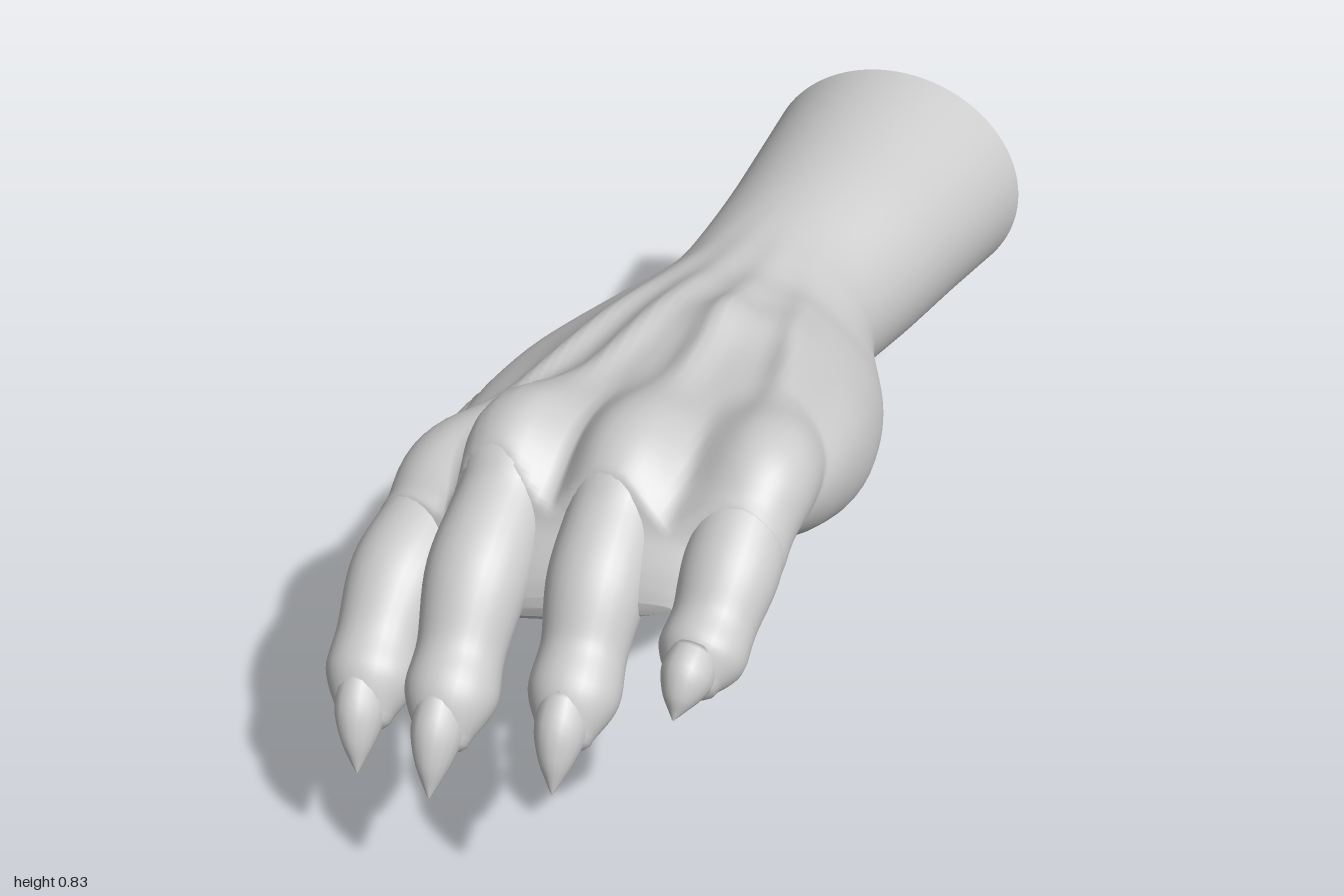
import * as THREE from 'three';

const skin = new THREE.MeshStandardMaterial({ color: 0xcccccc });
const bell = (d, w) => Math.exp(-(d * d) / (w * w));

// Smoothly resamples a short list of rows (Catmull-Rom on every column).
function resample(rows, steps) {
  const out = [];
  const at = (i) => rows[Math.min(Math.max(i, 0), rows.length - 1)];
  for (let i = 0; i < rows.length - 1; i++) {
    for (let s = 0; s < steps; s++) {
      const t = s / steps;
      out.push(rows[i].map((b, k) => {
        const a = at(i - 1)[k], c = at(i + 1)[k], d = at(i + 2)[k];
        return b + 0.5 * t * (c - a + t * (2 * a - 5 * b + 4 * c - d + t * (3 * (b - c) + d - a)));
      }));
    }
  }
  out.push(rows[rows.length - 1]);
  return out;
}

// Skins a list of closed rings of points.
function loft(rings, name) {
  const n = rings[0].length, index = [];
  for (let i = 0; i < rings.length - 1; i++) {
    for (let j = 0; j < n; j++) {
      const a = i * n + j, b = i * n + (j + 1) % n;
      index.push(a, b, a + n, b, b + n, a + n);
    }
  }
  const geo = new THREE.BufferGeometry().setFromPoints(rings.flat());
  geo.setIndex(index);
  geo.computeVertexNormals();
  const mesh = new THREE.Mesh(geo, skin);
  mesh.name = name;
  return mesh;
}

// Round limb through rows of [x, y, z, radius], closed at both ends.
function limb(rows, name, sides = 28, steps = 7, flat = 1) {
  const pts = resample(rows, steps);
  const pos = pts.map((p) => new THREE.Vector3(p[0], p[1], p[2]));
  const X = new THREE.Vector3(1, 0, 0);
  const ring = (c, r, T) => {
    const up = T.clone().cross(X).normalize();
    const side = up.clone().cross(T);
    return Array.from({ length: sides }, (_, j) => {
      const a = (j / sides) * Math.PI * 2;
      return c.clone().addScaledVector(side, r * flat * Math.cos(a)).addScaledVector(up, r * Math.sin(a));
    });
  };
  const last = pts.length - 1;
  const dir = (i) => pos[Math.min(i + 1, last)].clone().sub(pos[Math.max(i - 1, 0)]).normalize();
  const rings = pts.map((p, i) => ring(pos[i], p[3], dir(i)));
  rings.unshift(ring(pos[0], 0, dir(0)));
  // rounded tip
  for (const a of [0.4, 0.8, 1.2, Math.PI / 2]) {
    const r = pts[last][3], T = dir(last);
    rings.push(ring(pos[last].clone().addScaledVector(T, r * 0.6 * Math.sin(a)), r * Math.cos(a), T));
  }
  return loft(rings, name);
}

// Swells a skin along its normals so it flows over the limbs with soft fillets.
function flowOver(mesh, limbs, fillet = 0.07) {
  const balls = limbs.flatMap((rows) => resample(rows, 16));
  const { position, normal } = mesh.geometry.attributes;
  const p = new THREE.Vector3(), n = new THREE.Vector3();
  for (let i = 0; i < position.count; i++) {
    p.fromBufferAttribute(position, i);
    n.fromBufferAttribute(normal, i);
    // fades out towards the webs between the fingers
    const reach = 0.1 * (1 - THREE.MathUtils.smoothstep(p.z, 0.5, 0.64));
    let h = 0;
    for (let step = 0; step < 14 && h < reach; step++) {
      let d = Infinity;
      for (const [x, y, z, r] of balls) {
        const dx = p.x + n.x * h - x, dy = p.y + n.y * h - y, dz = p.z + n.z * h - z;
        d = Math.min(d, Math.sqrt(dx * dx + dy * dy + dz * dz) - r - 0.002);
      }
      const k = Math.max(fillet - Math.abs(h - d), 0);
      const gap = Math.min(h, d) - (k * k) / (4 * fillet);
      if (gap > -0.0002) break;
      h -= 0.8 * gap;
    }
    p.addScaledVector(n, Math.min(h, reach));
    position.setXYZ(i, p.x, p.y, p.z);
  }
  mesh.geometry.computeVertexNormals();
}

// Forearm and palm sections: z, centre x, centre y, half width, half height, sideways slope
const sections = [
  [-1, 0.12, 0.54, 0.29, 0.26, 0],
  [-0.8, 0.11, 0.542, 0.265, 0.24, 0],
  [-0.6, 0.1, 0.543, 0.242, 0.222, 0],
  [-0.4, 0.08, 0.54, 0.222, 0.203, 0],
  [-0.3, 0.07, 0.532, 0.235, 0.2, 0.05],
  [-0.2, 0.05, 0.52, 0.28, 0.207, 0.1],
  [-0.1, 0.045, 0.525, 0.32, 0.215, 0.16],
  [0, 0.04, 0.54, 0.35, 0.205, 0.2],
  [0.15, 0.05, 0.57, 0.375, 0.175, 0.22],
  [0.3, 0.06, 0.6, 0.375, 0.15, 0.23],
  [0.42, 0.065, 0.615, 0.365, 0.138, 0.24],
  [0.52, 0.065, 0.6, 0.345, 0.12, 0.25],
  [0.6, 0.06, 0.58, 0.32, 0.098, 0.27],
  [0.66, 0.06, 0.56, 0.29, 0.07, 0.28],
  [0.69, 0.06, 0.548, 0.26, 0.045, 0.28],
  [0.705, 0.06, 0.54, 0.24, 0.02, 0.28],
];
const SIDES = 120;

function sectionRing([z, cx, cy, rx, ry, slope]) {
  return Array.from({ length: SIDES }, (_, j) => {
    const a = (j / SIDES) * Math.PI * 2, c = Math.cos(a), s = Math.sin(a);
    const x = cx + rx * c;
    let y = cy + slope * rx * c + ry * s;
    if (s > 0) {
      // tendons fanning from the wrist to the knuckles
      const t = (z + 0.4) / 0.82;
      const strength = 0.026 * bell(z - 0.14, 0.3) * Math.min(1, s * 2);
      for (const [x0, x1] of [[-0.02, -0.25], [0.05, -0.09], [0.11, 0.13], [0.17, 0.36]]) {
        y += strength * bell(x - (x0 + (x1 - x0) * t), 0.032);
      }
      // wrist bump
      y += 0.02 * s * bell(z - 0.03, 0.07) * bell(x - 0.14, 0.12);
    } else {
      // hollow of the palm
      y -= 0.05 * s * bell(z - 0.2, 0.14) * bell(x - 0.06, 0.16);
    }
    return new THREE.Vector3(x, y, z);
  });
}

// Each digit: rows of [x, y, z, radius] from palm to fingertip, then the claw tip
const digits = {
  indexFinger: [[[-0.19, 0.51, 0.2, 0.04], [-0.232, 0.565, 0.42, 0.1], [-0.245, 0.525, 0.54, 0.092],
    [-0.25, 0.485, 0.66, 0.094], [-0.243, 0.42, 0.76, 0.08], [-0.232, 0.375, 0.82, 0.083],
    [-0.222, 0.335, 0.87, 0.052]], [-0.205, 0.26, 0.94]],
  middleFinger: [[[-0.05, 0.6, 0.2, 0.04], [-0.085, 0.695, 0.44, 0.093], [-0.078, 0.64, 0.57, 0.088],
    [-0.07, 0.57, 0.7, 0.094], [-0.058, 0.48, 0.8, 0.079], [-0.046, 0.43, 0.87, 0.082],
    [-0.038, 0.385, 0.92, 0.05]], [-0.03, 0.31, 0.998]],
  ringFinger: [[[0.1, 0.63, 0.2, 0.04], [0.13, 0.725, 0.45, 0.09], [0.14, 0.665, 0.58, 0.087],
    [0.15, 0.6, 0.68, 0.09], [0.16, 0.52, 0.76, 0.077], [0.17, 0.47, 0.83, 0.08],
    [0.177, 0.43, 0.88, 0.05]], [0.185, 0.36, 0.955]],
  littleFinger: [[[0.3, 0.65, 0.2, 0.04], [0.36, 0.74, 0.42, 0.088], [0.365, 0.7, 0.53, 0.084],
    [0.37, 0.645, 0.62, 0.086], [0.372, 0.595, 0.69, 0.075], [0.372, 0.563, 0.75, 0.076],
    [0.372, 0.545, 0.79, 0.05]], [0.37, 0.515, 0.865]],
  thumb: [[[-0.02, 0.47, -0.36, 0.05], [-0.12, 0.365, -0.2, 0.13], [-0.24, 0.36, -0.05, 0.14],
    [-0.34, 0.355, 0.07, 0.12], [-0.37, 0.28, 0.17, 0.1], [-0.368, 0.2, 0.23, 0.09],
    [-0.36, 0.13, 0.275, 0.093], [-0.355, 0.075, 0.325, 0.06]], [-0.35, 0.005, 0.4]],
};

// Fleshy masses at the sides of the palm
const pads = {
  littleFingerPad: [[0.16, 0.53, -0.36, 0.06], [0.25, 0.505, -0.14, 0.125], [0.31, 0.56, 0.08, 0.135],
    [0.345, 0.635, 0.28, 0.115], [0.36, 0.69, 0.42, 0.08]],
  thumbWeb: [[-0.04, 0.52, -0.32, 0.09], [-0.2, 0.455, -0.11, 0.125], [-0.265, 0.435, 0.05, 0.12],
    [-0.26, 0.475, 0.24, 0.095], [-0.235, 0.52, 0.42, 0.085]],
};

export function createModel() {
  const hand = new THREE.Group();
  hand.name = 'clawedHand';

  // forearm and palm, swelling over the roots of the digits
  const rings = resample(sections, 9).map(sectionRing);
  const mid = new THREE.Vector3(0.06, 0.54, 0.708);
  rings.push(rings[0].map(() => mid.clone()));
  const body = loft(rings, 'forearmAndPalm');
  flowOver(body, [...Object.values(digits).map(([rows]) => rows), ...Object.values(pads)]);
  hand.add(body);

  // flat cut end of the arm and its socket
  const scaledEnd = (k, z) => rings[0].map((p) =>
    new THREE.Vector3(0.12 + (p.x - 0.12) * k, 0.54 + (p.y - 0.54) * k, z));
  hand.add(loft([scaledEnd(0.58, -1), rings[0]], 'armEndRim'));
  hand.add(loft([scaledEnd(0.58, -0.45), scaledEnd(0.58, -1)], 'armSocketWall'));
  hand.add(loft([scaledEnd(0, -0.45), scaledEnd(0.58, -0.45)], 'armSocketFloor'));

  for (const [name, rows] of Object.entries(pads)) hand.add(limb(rows, name));

  // fingers and thumb with claws
  for (const [name, [rows, tip]] of Object.entries(digits)) {
    const digit = new THREE.Group();
    digit.name = name;
    digit.add(limb(rows, name + 'Flesh'));
    const base = rows[rows.length - 2];
    const at = (t, r, lift) => [0, 1, 2].map((k) =>
      base[k] + (tip[k] - base[k]) * t + (k > 0 ? lift : 0)).concat(r);
    digit.add(limb([at(0, 0.05, 0.02), at(0.35, 0.054, 0.018), at(0.65, 0.038, 0.012),
      at(0.88, 0.016, 0.004), at(1, 0.003, 0)], name + 'Claw', 16, 4, 0.85));
    hand.add(digit);
  }
  return hand;
}
